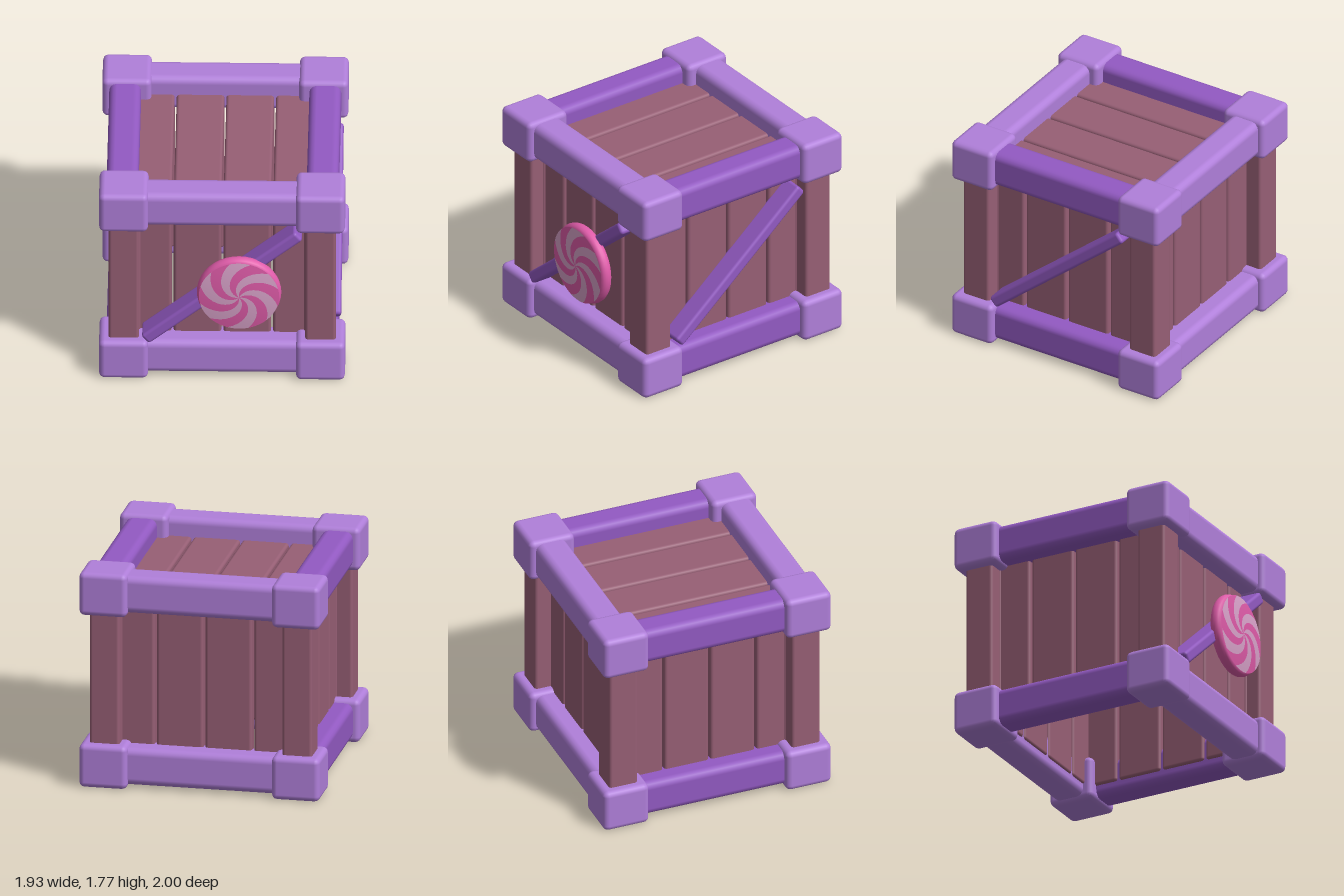
import * as THREE from 'three';
import { RoundedBoxGeometry } from 'three/addons/geometries/RoundedBoxGeometry.js';

const mat = (name, color) => {
  const m = new THREE.MeshStandardMaterial({ color });
  m.name = name;
  return m;
};

export function createModel() {
  const lilac = mat('lilac', 0xb07fda);
  const purple = mat('purple', 0x935ac3);
  const wood = mat('wood', 0x975f75);
  const pink = mat('pink', 0xe05caa);
  const swirlPink = mat('swirl pink', 0xde5ba8);
  const swirlPale = mat('swirl pale', 0xd9a3ca);

  const model = new THREE.Group();
  model.name = 'crate';
  const crate = new THREE.Group();
  crate.name = 'crateBody';
  crate.position.z = -0.035; // the candy sticks out in front
  model.add(crate);

  // Rounded box given by its centre and size
  const box = (name, material, [x, y, z], [w, h, d], radius, parent = crate) => {
    const mesh = new THREE.Mesh(new RoundedBoxGeometry(w, h, d, 2, radius), material);
    mesh.name = name;
    mesh.position.set(x, y, z);
    parent.add(mesh);
    return mesh;
  };

  // Frame: corner blocks and beams, top and bottom, and the corner posts
  for (const s of [-1, 1]) {
    for (const y of [0.18, 1.596]) {
      for (const t of [-1, 1]) box('cornerBlock', lilac, [s * 0.772, y, t * 0.773], [0.386, 0.355, 0.384], 0.045);
      box('crossBeam', lilac, [0, y, s * 0.785], [1.3, 0.306, 0.262], 0.06);
      box('sideBeam', purple, [s * 0.785, y, 0], [0.25, 0.296, 1.3], 0.06);
    }
    for (const t of [-1, 1]) box('cornerPost', wood, [s * 0.772, 0.886, t * 0.773], [0.24, 1.3, 0.24], 0.025);
  }

  // Planks, set back from the frame: four on each wall and the lid; the bottom is open
  for (let i = 0; i < 4; i++) {
    const p = (i - 1.5) * 0.39;
    const w = 0.374;
    for (const s of [-1, 1]) {
      box('wallPlank', wood, [p, 0.83, s * 0.7], [w, 1.42, 0.12], 0.025);
      box('sidePlank', wood, [s * 0.7, 0.83, p + 0.01], [0.12, 1.42, w], 0.025);
    }
    box('lidPlank', wood, [p, 1.535, 0], [w, 0.12, 1.42], 0.025);
  }

  // Diagonal braces on the front and on the left side
  const tilt = Math.atan2(1.0, 1.19);
  box('frontBrace', purple, [0, 0.877, 0.85], [1.58, 0.098, 0.19], 0.025).rotation.z = tilt;
  const sideBrace = new THREE.Group();
  sideBrace.name = 'sideBrace';
  sideBrace.rotation.y = Math.PI / 2;
  crate.add(sideBrace);
  box('sideBraceBar', purple, [-0.005, 0.877, 0.835], [1.55, 0.098, 0.19], 0.025, sideBrace).rotation.z = tilt;

  // Round candy with a rounded rim
  const candy = new THREE.Group();
  candy.name = 'candy';
  candy.position.set(0.135, 0.858, 0);
  model.add(candy);
  const profile = [[0, 0.87], [0.29, 0.87]];
  for (let i = 1; i < 8; i++) {
    const a = -Math.PI / 2 + (i * Math.PI) / 8;
    profile.push([0.29 + 0.042 * Math.cos(a), 0.918 + 0.048 * Math.sin(a)]);
  }
  profile.push([0.29, 0.966], [0, 0.966]);
  const body = new THREE.Mesh(
    new THREE.LatheGeometry(profile.map(([r, y]) => new THREE.Vector2(r, y)), 40), pink);
  body.name = 'candyBody';
  body.rotation.x = Math.PI / 2;
  candy.add(body);

  // Swirl: twelve curved arms in two colours on a shallow dome
  const R = 0.315, rings = 12, steps = 5, arms = 12;
  const swirl = (name, material, first) => {
    const pos = [], index = [];
    for (let arm = first; arm < arms; arm += 2) {
      const base = pos.length / 3;
      for (let i = 0; i <= rings; i++) {
        const t = i / rings;
        for (let j = 0; j <= steps; j++) {
          const a = 1.28 + 1.5 * (1 - t) + ((arm + j / steps) * 2 * Math.PI) / arms;
          pos.push(R * t * Math.cos(a), R * t * Math.sin(a), 1 - 0.022 * t * t);
          if (i < rings && j < steps) {
            const k = base + i * (steps + 1) + j, n = k + steps + 1;
            index.push(k, n, n + 1, k, n + 1, k + 1);
          }
        }
      }
    }
    const g = new THREE.BufferGeometry();
    g.setAttribute('position', new THREE.Float32BufferAttribute(pos, 3));
    g.setIndex(index);
    g.computeVertexNormals();
    const mesh = new THREE.Mesh(g, material);
    mesh.name = name;
    candy.add(mesh);
  };
  swirl('paleSwirl', swirlPale, 0);
  swirl('pinkSwirl', swirlPink, 1);

  return model;
}
